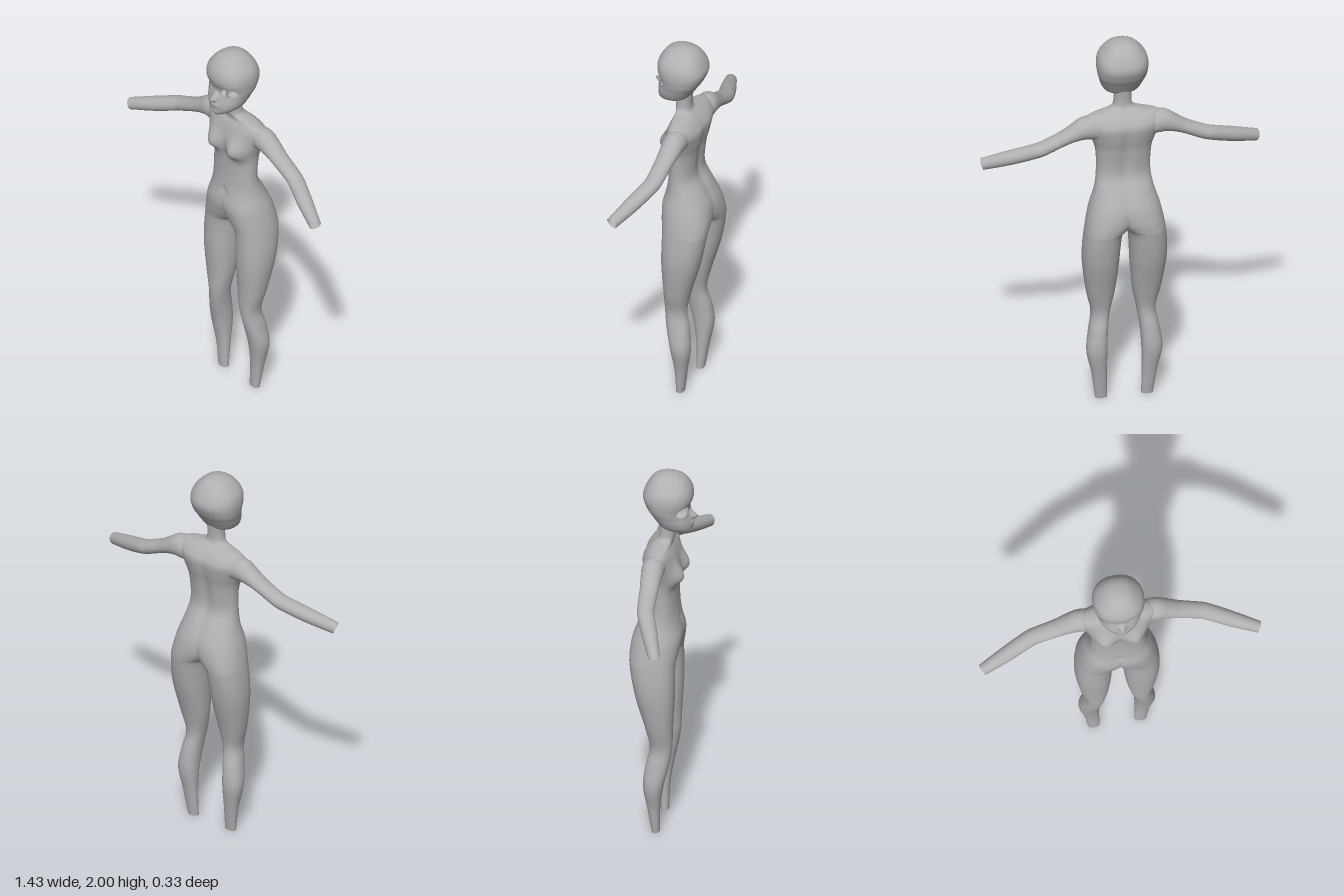
import * as THREE from 'three';

// Catmull-Rom interpolation of a table of rows at a fractional row index
function sample(rows, v) {
  const last = rows.length - 1;
  const i = Math.max(0, Math.min(last - 1, Math.floor(v)));
  const t = v - i;
  const at = k => rows[Math.max(0, Math.min(last, k))];
  const [a, b, c, d] = [at(i - 1), at(i), at(i + 1), at(i + 2)];
  return b.map((_, k) => {
    const m0 = (c[k] - a[k]) / 2, m1 = (d[k] - b[k]) / 2;
    return (2 * t ** 3 - 3 * t * t + 1) * b[k] + (t ** 3 - 2 * t * t + t) * m0
      + (3 * t * t - 2 * t ** 3) * c[k] + (t ** 3 - t * t) * m1;
  });
}

// Skin of closed rings; point(v, angle) gives a position, skip(corners) leaves holes
function skin(rowCount, steps, segs, point, skip = () => false) {
  const pts = [], index = [], n = (rowCount - 1) * steps;
  for (let i = 0; i <= n; i++) {
    for (let j = 0; j < segs; j++) pts.push(point(i / steps, j / segs * Math.PI * 2));
  }
  for (let i = 0; i < n; i++) {
    for (let j = 0; j < segs; j++) {
      const k = (j + 1) % segs;
      const a = i * segs + j, b = a + segs, c = i * segs + k, d = c + segs;
      if (skip([a, b, c, d].map(q => pts[q]))) continue;
      index.push(a, b, d, a, d, c);
    }
  }
  const g = new THREE.BufferGeometry();
  g.setAttribute('position', new THREE.Float32BufferAttribute(pts.flatMap(p => [p.x, p.y, p.z]), 3));
  g.setIndex(index);
  g.computeVertexNormals();
  return g;
}

function mirrored(geometry) {
  const g = geometry.clone().scale(-1, 1, 1);
  const ix = g.index.array;
  for (let i = 0; i < ix.length; i += 3) [ix[i], ix[i + 1]] = [ix[i + 1], ix[i]];
  return g;
}

const bell = (d, s) => Math.exp(-((d / s) ** 2));
const pow = (v, p) => Math.sign(v) * Math.abs(v) ** p;

// Half of the neck, torso and one leg: y, inner x, centre x, outer x, front z, back z
const BODY = [
  [1.74, -.045, 0, .045, .04, -.04],
  [1.67, -.045, 0, .045, .045, -.035],
  [1.635, -.055, 0, .055, .042, -.04],
  [1.62, -.1, 0, .1, .037, -.055],
  [1.605, -.17, 0, .17, .036, -.07],
  [1.58, -.2, 0, .2, .048, -.092],
  [1.54, -.195, 0, .195, .06, -.11],
  [1.475, -.165, 0, .165, .068, -.103],
  [1.4, -.142, 0, .142, .062, -.088],
  [1.27, -.138, 0, .138, .064, -.08],
  [1.18, -.14, .01, .152, .074, -.122],
  [1.1, -.12, .04, .177, .088, -.155],
  [1.03, -.07, .075, .193, .08, -.166],
  [.98, -.015, .1, .202, .07, -.166],
  [.95, .014, .11, .206, .066, -.163],
  [.865, .024, .118, .214, .065, -.15],
  [.76, .03, .12, .212, .065, -.128],
  [.6, .045, .118, .19, .056, -.083],
  [.48, .068, .115, .165, .052, -.06],
  [.38, .082, .128, .18, .037, -.08],
  [.27, .088, .137, .193, .013, -.09],
  [.14, .09, .13, .167, -.006, -.07],
  [0, .088, .118, .148, -.01, -.05],
];

function bodyHalf() {
  const g = skin(BODY.length, 6, 72, (v, t) => {
    const [y, xi, xc, xo, zf, zb] = sample(BODY, v);
    const s = pow(Math.sin(t), .9), c = pow(Math.cos(t), .9);
    const x = Math.max(0, xc + s * (s > 0 ? xo - xc : xc - xi));
    let z = (zf + zb) / 2 + c * (zf - zb) / 2;
    if (c > 0) {
      // Breast and navel
      const bust = bell(x - .08, .055) * bell(y - 1.44, y < 1.44 ? .04 : .07);
      z += Math.min(1, c * 2) * (.046 * bust - .01 * bell(x, .014) * bell(y - 1.18, .016));
    } else {
      // Spine groove
      z += .012 * bell(x, .03) * bell(y - 1.36, .2) * Math.min(1, -c * 2);
    }
    return new THREE.Vector3(x, y, z);
  }, corners => corners.every(p => p.x === 0));
  // Keep shading continuous across the middle
  const p = g.attributes.position, n = g.attributes.normal;
  for (let i = 0; i < p.count; i++) {
    if (p.getX(i) > 0) continue;
    const l = Math.hypot(n.getY(i), n.getZ(i)) || 1;
    n.setXYZ(i, 0, n.getY(i) / l, n.getZ(i) / l);
  }
  return g;
}

// Arm: centre x, y, z, half height, half depth
const ARM = [
  [.13, 1.53, -.03, .055, .055],
  [.19, 1.541, -.03, .062, .057],
  [.25, 1.521, -.029, .046, .052],
  [.31, 1.492, -.026, .036, .047],
  [.4, 1.45, -.022, .036, .044],
  [.45, 1.43, -.014, .037, .043],
  [.57, 1.384, .03, .037, .04],
  [.7, 1.338, .078, .031, .03],
];

function arm() {
  const up = new THREE.Vector3(0, 1, 0);
  return skin(ARM.length, 6, 32, (v, t) => {
    const [x, y, z, h, d] = sample(ARM, v);
    const end = ARM.length - 1;
    const a = new THREE.Vector3(...sample(ARM, Math.max(0, v - .1)));
    const b = new THREE.Vector3(...sample(ARM, Math.min(end, v + .1)));
    const along = b.sub(a).normalize();
    const side = along.clone().cross(up).normalize();
    const over = side.clone().cross(along);
    return new THREE.Vector3(x, y, z)
      .addScaledVector(over, Math.cos(t) * h).addScaledVector(side, -Math.sin(t) * d);
  });
}

// Head: y, half width, front z, back z
const HEAD = [
  [2, 0, .012, .012],
  [1.991, .045, .06, -.035],
  [1.967, .083, .1, -.072],
  [1.92, .12, .13, -.102],
  [1.87, .13, .136, -.115],
  [1.815, .124, .118, -.095],
  [1.78, .114, .124, -.073],
  [1.745, .103, .133, -.05],
  [1.715, .087, .135, -.028],
  [1.69, .058, .132, .02],
  [1.668, .018, .125, .075],
  [1.663, 0, .105, .105],
];

function head() {
  const eye = { t: .62, v: 5.05, rt: .4, rv: .6 }, core = .6, reach = 1.5;
  return skin(HEAD.length, 10, 96, (v, angle) => {
    let t = angle > Math.PI ? angle - Math.PI * 2 : angle;
    const sign = t < 0 ? -1 : 1;
    // Spread the grid around each eye opening
    const du = (Math.abs(t) - eye.t) / eye.rt, dv = (v - eye.v) / eye.rv;
    const r = Math.hypot(du, dv), open = r <= core;
    if (r < reach) {
      const k = (1 + Math.max(0, r - core) / (reach - core) * (reach - 1)) / Math.max(r, 1e-4);
      t = sign * (eye.t + du * k * eye.rt);
      v = eye.v + dv * k * eye.rv;
    }
    const [y, w, zf, zb] = sample(HEAD, v);
    const c = Math.cos(t);
    const x = Math.max(0, w) * pow(Math.sin(t), .88);
    let z = (zf + zb) / 2 + pow(c, .88) * (zf - zb) / 2;
    if (c > 0) {
      // Nose, lips and chin
      z += .036 * bell(x, .015) * bell(y - 1.767, y > 1.767 ? .026 : .014);
      z += bell(x, .026) * (.014 * bell(y - 1.733, .014) - .007 * bell(y - 1.731, .004));
      z += .006 * bell(x, .025) * bell(y - 1.69, .014);
    }
    const p = new THREE.Vector3(x, y, z);
    p.open = open;
    return p;
  }, corners => corners.every(p => p.open));
}

export function createModel() {
  const grey = new THREE.MeshStandardMaterial({ color: 0xb0b0b0, side: THREE.DoubleSide });
  grey.name = 'plain grey';
  const model = new THREE.Group();
  model.name = 'mannequin';
  const add = (name, geometry) => {
    const mesh = new THREE.Mesh(geometry, grey);
    mesh.name = name;
    model.add(mesh);
  };
  add('head', head());
  const half = bodyHalf(), limb = arm();
  add('leftBodyAndLeg', half);
  add('rightBodyAndLeg', mirrored(half));
  add('leftArm', limb);
  add('rightArm', mirrored(limb));
  return model;
}
